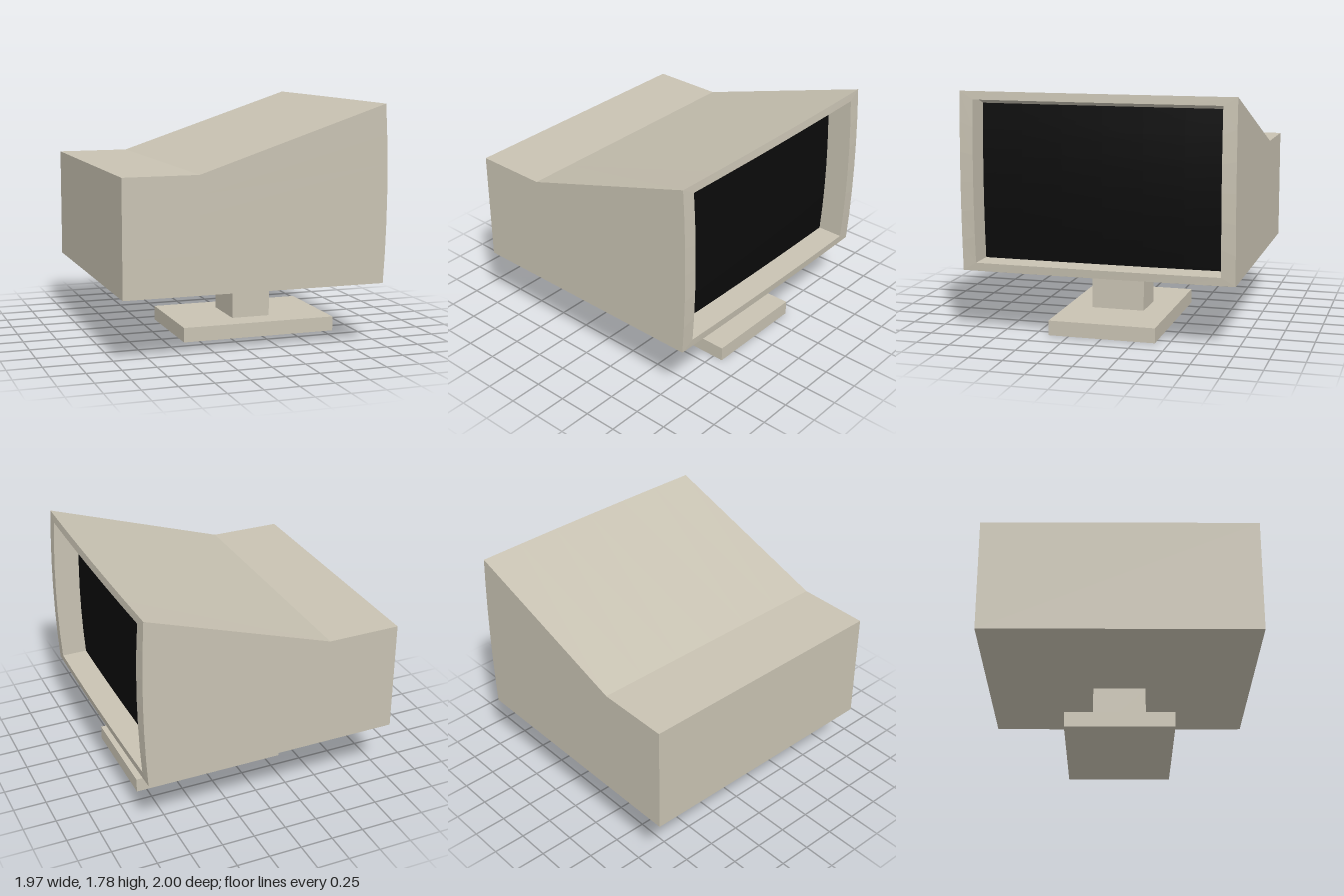
import * as THREE from 'three';

const SEG = 6; // subdivisions along each side of the screen opening

const beige = new THREE.MeshStandardMaterial({ color: 0xc8c2b2, flatShading: true });
const black = new THREE.MeshStandardMaterial({ color: 0x0b0b0b });

// Gentle outward bow of the front, u and v running 0..1 across it
const bow = (u, v) => 0.022 * (4 * v * (1 - v)) + 0.01 * (4 * u * (1 - u));

// Rectangular section facing +x; curved ones bow forward
const section = (x, halfZ, y0, y1, curved = true) => (u, v) =>
  [x + (curved ? bow(u, v) : 0), y0 + (y1 - y0) * v, halfZ * (1 - 2 * u)];

// Points around the edge of a section, anticlockwise seen from +x
function ring(point) {
  const points = [];
  for (let side = 0; side < 4; side++) {
    for (let i = 0; i < SEG; i++) {
      const t = i / SEG;
      points.push(point(...[[t, 0], [1, t], [1 - t, 1], [0, 1 - t]][side]));
    }
  }
  return points;
}

function geometryFrom(positions, indices) {
  const geometry = new THREE.BufferGeometry();
  geometry.setAttribute('position', new THREE.Float32BufferAttribute(positions.flat(), 3));
  geometry.setIndex(indices);
  return geometry;
}

// Walls joining successive sections
function loft(sections) {
  const n = SEG * 4, indices = [];
  for (let r = 0; r < sections.length - 1; r++) {
    for (let j = 0; j < n; j++) {
      const k = (j + 1) % n;
      const a = r * n + j, b = r * n + k, c = b + n, d = a + n;
      indices.push(a, b, c, a, c, d);
    }
  }
  const geometry = geometryFrom(sections.flatMap(ring), indices).toNonIndexed();
  geometry.computeVertexNormals();
  return geometry;
}

// Filled, smoothly curved section
function panel(point) {
  const positions = [], indices = [];
  for (let j = 0; j <= SEG; j++) {
    for (let i = 0; i <= SEG; i++) {
      positions.push(point(i / SEG, j / SEG));
      if (i < SEG && j < SEG) {
        const a = j * (SEG + 1) + i, d = a + SEG + 1;
        indices.push(a, a + 1, d + 1, a, d + 1, d);
      }
    }
  }
  const geometry = geometryFrom(positions, indices);
  geometry.computeVertexNormals();
  return geometry;
}

export function createModel() {
  const model = new THREE.Group();
  model.name = 'monitor';

  const add = (name, geometry, material = beige) => {
    const mesh = new THREE.Mesh(geometry, material);
    mesh.name = name;
    model.add(mesh);
  };
  const addBox = (name, x0, x1, y0, y1, halfZ) => add(name,
    new THREE.BoxGeometry(x1 - x0, y1 - y0, halfZ * 2)
      .translate((x0 + x1) / 2, (y0 + y1) / 2, 0));

  // Sections from the front rim back to the screen
  const rim = section(0.955, 1, 0.48, 1.78);
  const opening = section(0.962, 0.9, 0.54, 1.72);
  const step = section(0.88, 0.9, 0.54, 1.72);
  const screenEdge = section(0.765, 0.9, 0.54, 1.68);

  // Housing: low at the back, top rising towards the front
  add('housing', loft([
    section(-0.99, 1, 0.48, 1.32, false),
    section(-0.44, 1, 0.48, 1.32, false),
    rim,
  ]));
  const back = new THREE.PlaneGeometry(2, 0.84);
  back.rotateY(-Math.PI / 2).translate(-0.99, 0.9, 0);
  add('backPanel', back);

  // Bezel, stepped recess and curved screen
  add('bezel', loft([rim, opening]));
  add('recess', loft([opening, step, screenEdge]));
  add('screen', panel(screenEdge), black);

  // Stand
  addBox('standColumn', 0.08, 0.38, 0.11, 0.48, 0.2);
  addBox('standBase', -0.37, 0.83, 0, 0.11, 0.4);

  return model;
}
